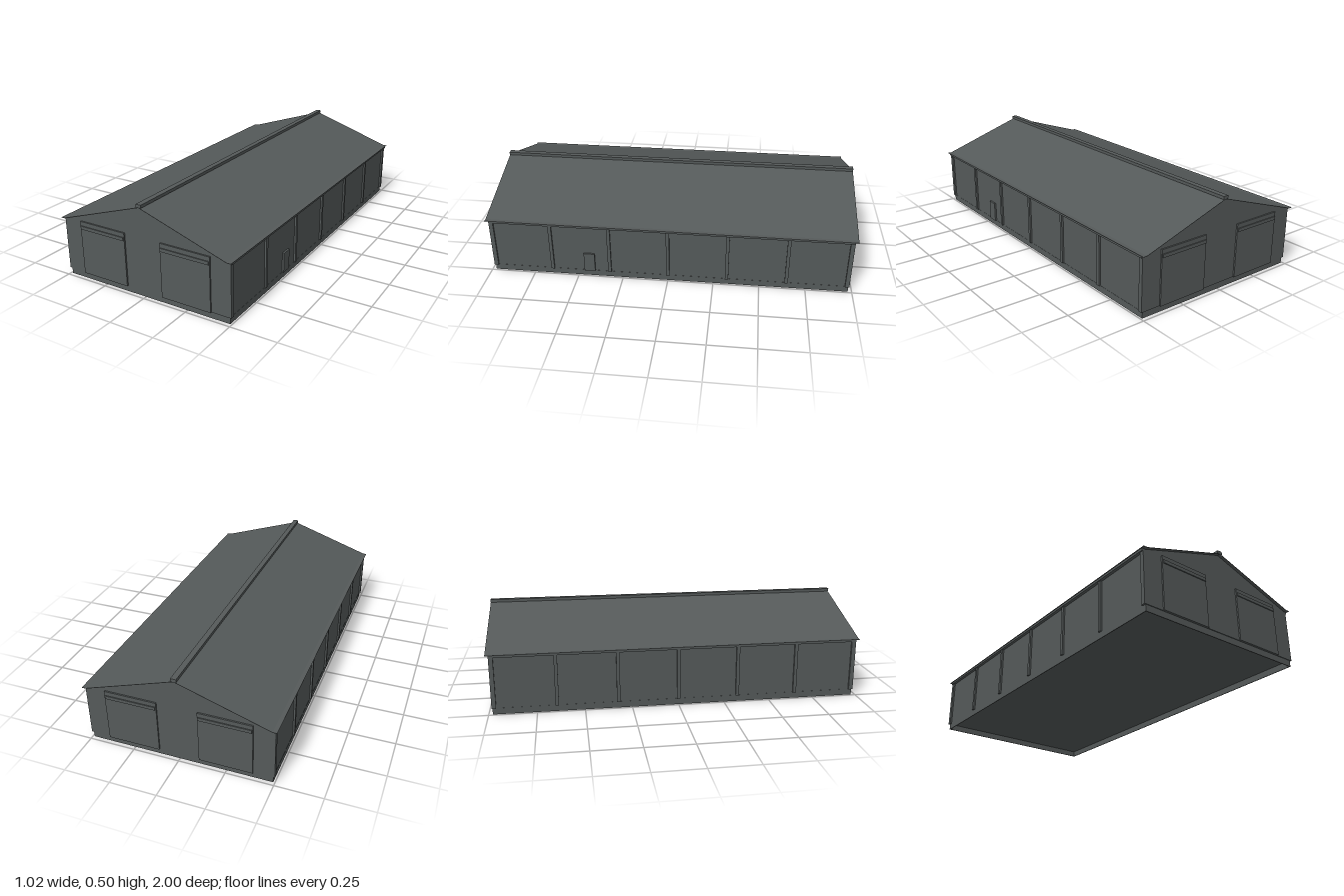
import * as THREE from 'three';

export function createModel() {
  const group = new THREE.Group();
  group.name = 'barn';
  const slate = new THREE.MeshStandardMaterial({ color: 0x555a5a });
  slate.name = 'slate grey';

  const add = (name, geometry) => {
    const mesh = new THREE.Mesh(geometry, slate);
    mesh.name = name;
    group.add(mesh);
    return mesh;
  };
  // Box given by its limits on each axis
  const box = (name, x0, x1, y0, y1, z0, z1) => {
    const mesh = add(name, new THREE.BoxGeometry(Math.abs(x1 - x0), y1 - y0, Math.abs(z1 - z0)));
    mesh.position.set((x0 + x1) / 2, (y0 + y1) / 2, (z0 + z1) / 2);
    return mesh;
  };
  // Outline in x and y, extruded along z and centred
  const prism = (name, points, depth, z = 0) => {
    const shape = new THREE.Shape(points.map(([x, y]) => new THREE.Vector2(x, y)));
    const geometry = new THREE.ExtrudeGeometry(shape, { depth, bevelEnabled: false });
    geometry.translate(0, 0, z - depth / 2);
    return add(name, geometry);
  };

  const base = 0.034, eave = 0.322, apex = 0.487;

  // Wall body, whose floor is raised above the open plinth
  prism('wallBody', [[-0.49, base], [0.49, base], [0.49, eave], [0, apex - 0.004], [-0.49, eave]], 1.95);

  // Thin roof sheets with flat eaves and overhanging ends, and ridge cap
  prism('roof', [[0, apex + 0.001], [-0.488, 0.326], [-0.51, 0.326], [-0.51, 0.324], [-0.488, 0.324],
    [0, apex - 0.001], [0.488, 0.324], [0.51, 0.324], [0.51, 0.326], [0.488, 0.326]], 2);
  box('ridgeCap', -0.015, 0.015, 0.487, 0.503, -1, 1);

  for (const s of [-1, 1]) {
    // Plinth rim, hollow underneath
    box('plinthSide', s * 0.487, s * 0.491, 0, base, -0.979, 0.979);
    box('plinthEnd', -0.491, 0.491, 0, base, s * 0.975, s * 0.979);

    // Gable end walls
    prism('gableWall', [[-0.5, base], [0.5, base], [0.5, 0.323], [0.488, 0.323],
      [0, apex - 0.001], [-0.488, 0.323], [-0.5, 0.323]], 0.01, s * 0.978);

    // Large doors, each with a rail near the top
    for (const x of [-0.249, 0.249]) {
      box('barnDoor', x - 0.141, x + 0.141, base, 0.326, s * 0.98, s * 0.991);
      box('doorRail', x - 0.137, x + 0.137, 0.285, 0.303, s * 0.98, s * 0.996);
    }

    // Gutters
    box('gutter', s * 0.488, s * 0.506, 0.312, 0.325, -0.982, 0.982);

    // Side wall pilasters
    for (let i = -3; i <= 3; i++) {
      const z = i * 0.323;
      box('pilaster', s * 0.485, s * 0.5, base, 0.316, z - 0.009, z + 0.009);
    }
  }

  // Small side door
  box('sideDoor', 0.488, 0.5, base, 0.145, 0.405, 0.465);

  return group;
}
